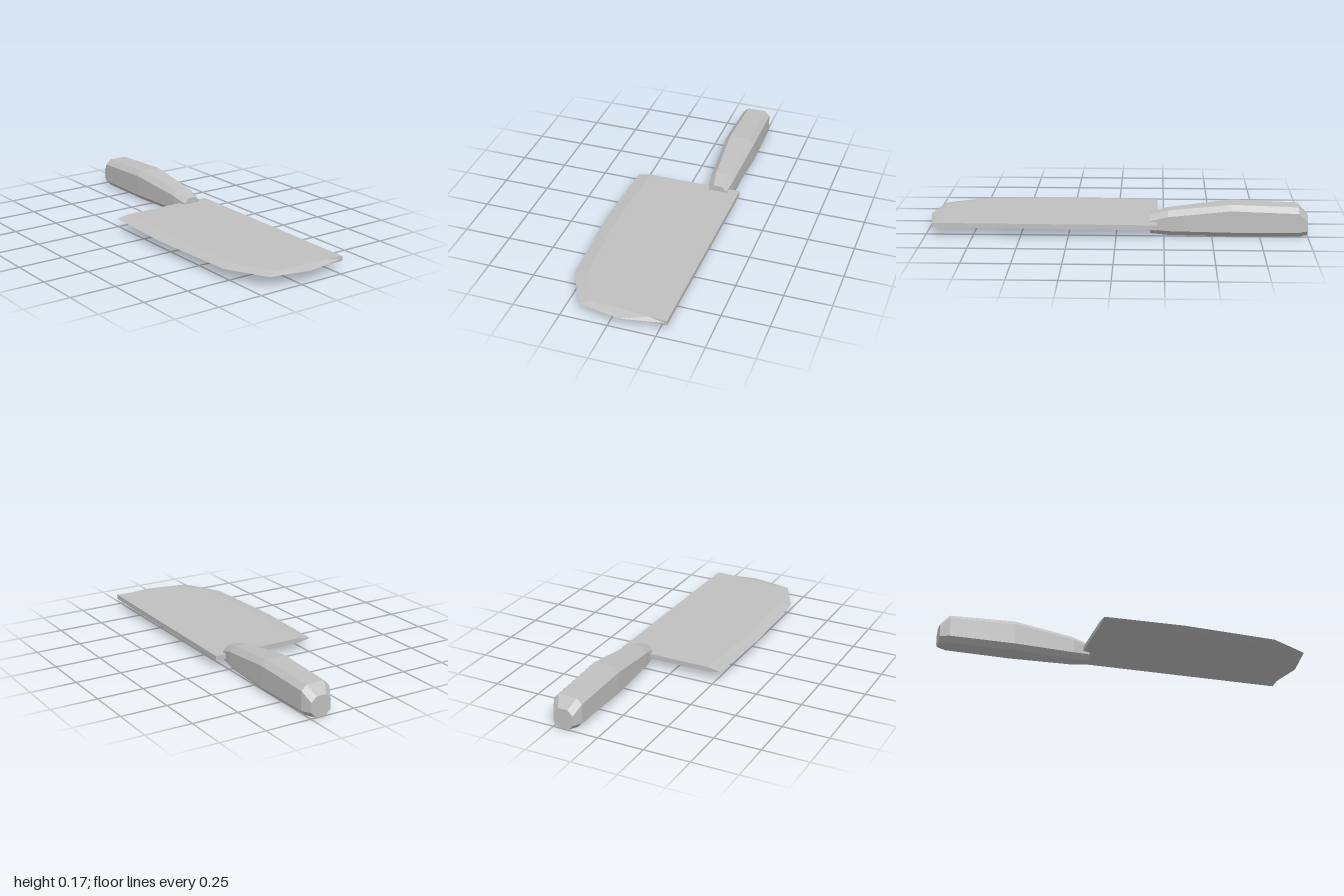
import * as THREE from 'three';

const steel = new THREE.MeshStandardMaterial({ color: 0xc0c0c0 });
steel.name = 'grey steel';

// Flat-shaded mesh from convex polygons, corners counter-clockwise from outside
function polyMesh(name, polygons) {
  const pos = [];
  for (const p of polygons)
    for (let i = 1; i < p.length - 1; i++) pos.push(...p[0], ...p[i], ...p[i + 1]);
  const geo = new THREE.BufferGeometry();
  geo.setAttribute('position', new THREE.Float32BufferAttribute(pos, 3));
  geo.computeVertexNormals();
  const mesh = new THREE.Mesh(geo, steel);
  mesh.name = name;
  return mesh;
}

// Handle: chamfered box sections lofted along x
function makeHandle() {
  const zMid = -0.192, c = 0.028;
  // x, bottom, top, half width
  const sections = [
    [-1, 0.002, 0.11, 0.055],
    [-0.95, 0, 0.158, 0.079],
    [-0.6, 0, 0.171, 0.084],
    [-0.27, 0, 0.132, 0.065],
    [-0.178, 0.005, 0.106, 0.051],
  ];
  const rings = sections.map(([x, b, t, w]) => [
    [t, c - w], [t, w - c], [t - c, w], [b + c, w],
    [b, w - c], [b, c - w], [b + c, -w], [t - c, -w],
  ].map(([y, z]) => [x, y, zMid + z]));
  const polys = [[...rings[0]].reverse(), rings[rings.length - 1]];
  for (let s = 0; s < rings.length - 1; s++) {
    const a = rings[s], b = rings[s + 1];
    for (let i = 0; i < 8; i++) {
      const j = (i + 1) % 8;
      polys.push([a[i], a[j], b[j], b[i]]);
    }
  }
  return polyMesh('handle', polys);
}

// Blade: flat cheeks, a bevel down to the cutting edge and a square spine
function makeBlade() {
  const mid = 0.06, half = 0.013;
  const heel = [-0.215, -0.307];
  const cheek = [[-0.215, 0.205], [0.22, 0.235], [0.73, 0.21], [0.93, 0.1], [0.953, -0.2], [0.96, -0.293]];
  const rim = [[-0.215, 0.28], [0.22, 0.3], [0.735, 0.277], [0.955, 0.165], [1, -0.06], [0.96, -0.28]];
  const at = ([x, z], y) => [x, y, z];
  const edge = rim.map(p => at(p, mid));
  const last = cheek.length - 1;
  const polys = [];
  const sides = [1, -1].map(s => ({
    s, heel: at(heel, mid + s * half), cheek: cheek.map(p => at(p, mid + s * half)),
  }));
  for (const { s, heel: h, cheek: k } of sides) {
    const add = p => polys.push(s > 0 ? p : p.reverse());
    for (let i = 0; i < last; i++) {
      add([h, k[i], k[i + 1]]);
      add([k[i], edge[i], edge[i + 1]]);
      add([k[i], edge[i + 1], k[i + 1]]);
    }
  }
  const [t, b] = sides;
  polys.push([t.heel, t.cheek[last], b.cheek[last], b.heel]); // spine
  polys.push([b.heel, b.cheek[0], edge[0], t.cheek[0], t.heel]); // heel end
  polys.push([b.cheek[last], t.cheek[last], edge[last]]); // tip end
  return polyMesh('blade', polys);
}

export function createModel() {
  const group = new THREE.Group();
  group.name = 'cleaver';
  group.add(makeHandle(), makeBlade());
  return group;
}
